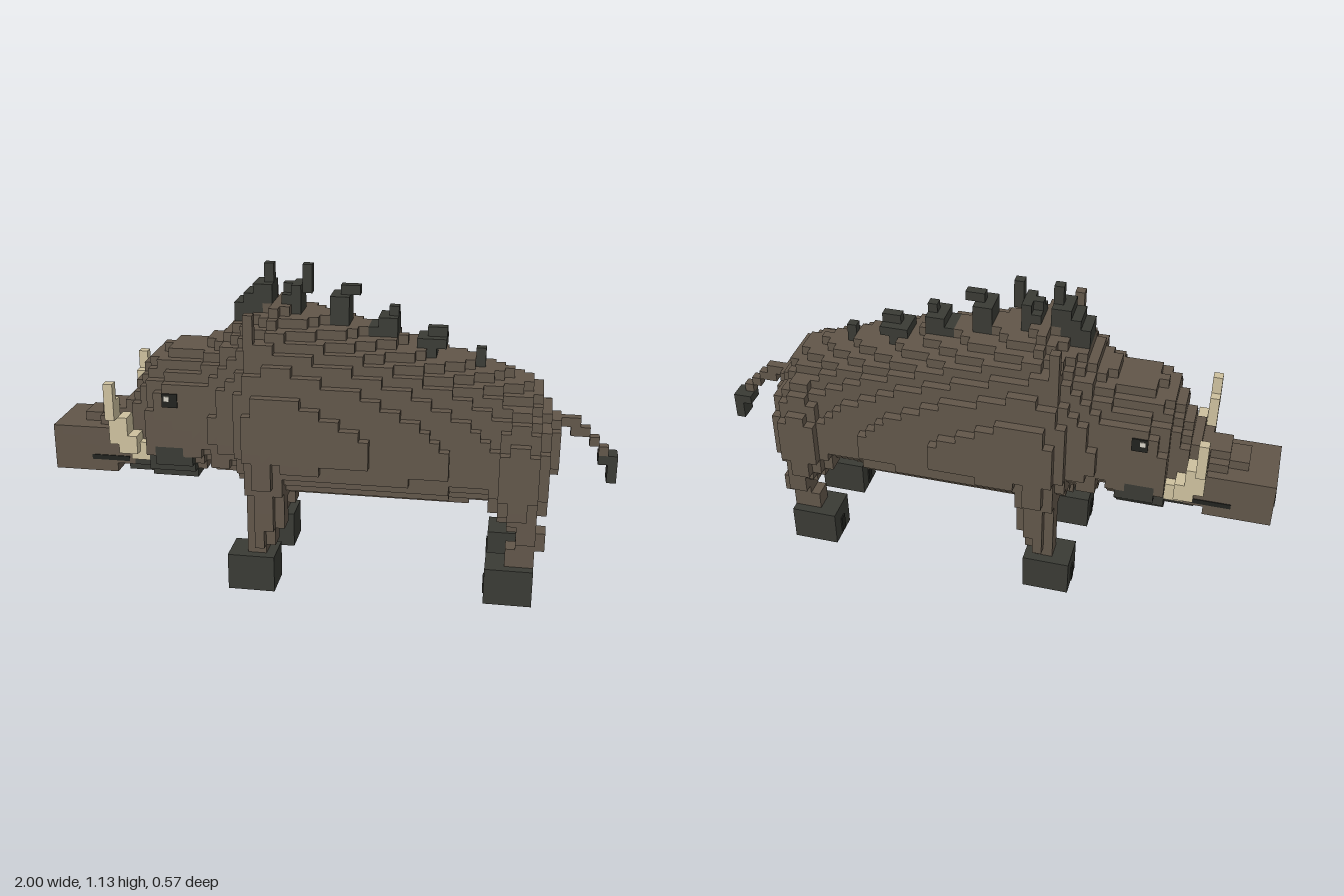
import * as THREE from 'three';

const V = 1 / 30; // cube size
const mat = (name, color) => {
  const m = new THREE.MeshStandardMaterial({ color });
  m.name = name;
  return m;
};

// Value at column i of a profile given as [[i, value], ...]
const at = (points, i) => {
  const n = Math.max(1, points.findIndex(([x]) => x >= i));
  const [x0, y0] = points[n - 1], [x1, y1] = points[n];
  return y0 + ((y1 - y0) * (i - x0)) / (x1 - x0);
};

const bodyTop = [[20, 28], [21, 28.4], [22, 29], [24, 30.3], [25, 29.8], [29, 28.7], [33, 27.7], [36, 26.8],
  [44, 24.7], [50, 22.9], [51, 22.3], [52, 20.4], [53, 19.4]];
const bodyBottom = [[20, 12], [21, 11], [22, 10], [49, 10], [52, 11], [53, 13]];
const bodyWidth = [[20, 7], [22, 8.2], [26, 8.6], [34, 8.1], [42, 7.1], [47, 6.15], [50, 5.2], [52, 4.1], [53, 2.6]];
const headTop = [[3, 16.8], [5, 17.7], [7, 18.4], [8, 19.2], [9, 21.2], [10, 23.2], [11, 24.2], [13, 25],
  [16, 25.4], [18, 26.3], [19, 27.2]];
const headBottom = [[3, 11], [6, 11], [7, 12], [8, 11], [15, 11], [16, 12], [17, 13], [18, 12], [19, 12]];
const headWidth = [[3, 2.8], [5, 3.2], [8, 3.7], [10, 3.95], [11, 5.3], [13, 5.95], [15, 5.95], [17, 5.6], [19, 6.5]];

export function createModel() {
  const model = new THREE.Group();
  model.name = 'boar';
  const hide = mat('brown hide', 0x62574a);
  const dark = mat('dark bristle', 0x3a3b35);
  const ivory = mat('ivory', 0xd0c3a0);
  const black = mat('near black', 0x22231f);
  const white = mat('eye glint', 0xd8d4c8);

  // Shared cube grid: i along x, j along y, k across z (k = 0 is the middle)
  const grid = new Map();
  const materials = {};
  const key = (i, j, k) => `${i},${j},${k}`;
  const put = (part, i, j, k) => grid.set(key(i, j, k), { part, p: [i, j, k] });
  const fill = (part, [i0, i1], [j0, j1], [k0, k1]) => {
    for (let i = i0; i <= i1; i++)
      for (let j = j0; j <= j1; j++)
        for (let k = k0; k <= k1; k++) put(part, i, j, k);
  };
  const fillBoth = (side, part, i, j, [k0, k1]) =>
    fill(part, i, j, side > 0 ? [k0, k1] : [-k1, -k0]);

  // Rounded cross-sections stacked along x
  const loft = (part, i0, i1, top, bottom, width, middle, up, down) => {
    for (let i = i0; i <= i1; i++) {
      const t = at(top, i), b = at(bottom, i), w = at(width, i);
      const c = b + (t - b) * middle;
      for (let j = 0; j < 32; j++) {
        const y = j + 0.5 - c;
        const r = Math.abs(y) / (y > 0 ? t - c : c - b);
        if (r > 1) continue;
        const n = y > 0 ? up : down;
        const half = Math.floor(w * Math.pow(1 - Math.pow(r, n), 1 / n));
        fill(part, [i, i], [j, j], [-half, half]);
      }
    }
  };

  // Rounded muscle mass
  const ellipsoid = (part, s, [ci, cj, ck], [ri, rj, rk]) => {
    for (let i = Math.ceil(ci - ri); i <= ci + ri; i++)
      for (let j = Math.ceil(cj - rj); j <= cj + rj; j++)
        for (let k = Math.ceil(ck - rk); k <= ck + rk; k++)
          if (((i - ci) / ri) ** 2 + ((j - cj) / rj) ** 2 + ((k - ck) / rk) ** 2 <= 1) put(part, i, j, s * k);
  };

  materials.body = hide;
  loft('body', 20, 53, bodyTop, bodyBottom, bodyWidth, 0.36, 2.1, 2.1);
  materials.head = hide;
  loft('head', 3, 19, headTop, headBottom, headWidth, 0.42, 2.1, 3);
  fill('head', [0, 6], [11, 15], [-3, 3]);
  fill('head', [7, 10], [12, 15], [-3, 3]);

  // Dark beard under the jaw: row -> columns
  materials.jaw = dark;
  const beard = { 11: [8, 15], 12: [9, 15], 13: [11, 15], 14: [12, 14] };
  for (const { part, p } of [...grid.values()]) {
    const row = beard[p[1]];
    if (part === 'head' && row && p[0] >= row[0] && p[0] <= row[1]) put('jaw', ...p);
  }

  // Legs, hooves, ears and tusks on both sides
  for (const s of [1, -1]) {
    const n = s > 0 ? 'Left' : 'Right';
    const name = (base, m) => { materials[base + n] = m; return base + n; };
    const fore = name('foreleg', hide);
    ellipsoid(fore, s, [23.5, 16.5, 5], [3, 8.6, 3.6]);
    fillBoth(s, fore, [22, 23], [4, 4], [5, 6]);
    fillBoth(s, fore, [22, 24], [5, 6], [5, 6]);
    fillBoth(s, fore, [23, 23], [5, 6], [4, 7]);
    fillBoth(s, fore, [22, 25], [7, 12], [5, 6]);
    fillBoth(s, fore, [23, 24], [7, 12], [4, 7]);
    fillBoth(s, fore, [23, 24], [9, 10], [3, 3]);
    const hind = name('hindLeg', hide);
    ellipsoid(hind, s, [49.5, 14, 4.4], [3.4, 6.2, 3.2]);
    fillBoth(s, hind, [49, 51], [4, 5], [4, 5]);
    fillBoth(s, hind, [50, 52], [6, 7], [4, 5]);
    fillBoth(s, hind, [50, 51], [7, 8], [4, 6]);
    fillBoth(s, hind, [49, 51], [9, 9], [3, 6]);
    fillBoth(s, hind, [48, 51], [10, 12], [4, 6]);
    fillBoth(s, hind, [49, 50], [10, 12], [4, 7]);
    fillBoth(s, name('foreHoof', dark), [20, 24], [0, 3], [4, 7]);
    fillBoth(s, name('hindHoof', dark), [47, 51], [0, 3], [3, 6]);
    const ear = name('ear', hide);
    fillBoth(s, ear, [22, 23], [23, 26], [6, 6]);
    fillBoth(s, ear, [22, 22], [27, 29], [6, 6]);
    const tusk = name('tusk', ivory);
    fillBoth(s, tusk, [9, 10], [13, 14], [4, 4]);
    fillBoth(s, tusk, [9, 9], [14, 15], [4, 5]);
    fillBoth(s, tusk, [8, 8], [14, 17], [4, 5]);
    fillBoth(s, tusk, [7, 7], [15, 19], [5, 5]);
    fillBoth(s, tusk, [7, 7], [18, 21], [6, 6]);
  }

  // Mane tufts: [i range, j range, half width]
  materials.mane = dark;
  const tufts = [
    [[20, 21], [28, 29], 1], [[21, 22], [29, 30], 1], [[22, 23], [30, 31], 1], [[23, 23], [32, 33], 0],
    [[25, 26], [29, 30], 1], [[26, 26], [31, 31], 1], [[27, 27], [31, 33], 0], [[25, 25], [30, 31], 0],
    [[30, 31], [28, 30], 1], [[31, 32], [31, 31], 0],
    [[34, 36], [27, 27], 1], [[35, 36], [28, 28], 1], [[36, 36], [28, 29], 0],
    [[39, 40], [25, 26], 1], [[40, 41], [26, 26], 1], [[40, 41], [27, 27], 0],
    [[45, 45], [24, 25], 0],
  ];
  for (const [i, j, h] of tufts) fill('mane', i, j, [-h, h]);

  // Tail and its tuft
  materials.tail = hide;
  for (const [i, j] of [[[54, 55], 18], [[55, 56], 17], [[57, 57], 16], [[58, 58], 15]]) fill('tail', i, [j, j], [0, 0]);
  materials.tailTuft = dark;
  fill('tailTuft', [58, 58], [14, 14], [-1, 0]);
  fill('tailTuft', [59, 59], [12, 14], [-1, 0]);

  // Turn the exposed cube faces of each part into a mesh
  const faces = {};
  for (const { part, p } of grid.values()) {
    const out = (faces[part] ??= { pos: [], nor: [] });
    for (let a = 0; a < 3; a++) for (const s of [1, -1]) {
      const next = [...p];
      next[a] += s;
      if (grid.has(key(...next))) continue;
      const corners = [[0, 0], [1, 0], [1, 1], [0, 1]].map(([u, v]) => {
        const c = [...p];
        if (s > 0) c[a] += 1;
        c[(a + 1) % 3] += u;
        c[(a + 2) % 3] += v;
        return [c[0] * V - 1, c[1] * V, (c[2] - 0.5) * V];
      });
      const normal = [0, 0, 0];
      normal[a] = s;
      for (const q of s > 0 ? [0, 1, 2, 0, 2, 3] : [0, 2, 1, 0, 3, 2]) {
        out.pos.push(...corners[q]);
        out.nor.push(...normal);
      }
    }
  }
  for (const [part, { pos, nor }] of Object.entries(faces)) {
    const g = new THREE.BufferGeometry();
    g.setAttribute('position', new THREE.Float32BufferAttribute(pos, 3));
    g.setAttribute('normal', new THREE.Float32BufferAttribute(nor, 3));
    const mesh = new THREE.Mesh(g, materials[part]);
    mesh.name = part;
    model.add(mesh);
  }

  // Thin painted plates
  const plate = (name, m, size, position) => {
    const mesh = new THREE.Mesh(new THREE.BoxGeometry(...size), m);
    mesh.name = name;
    mesh.position.set(...position);
    model.add(mesh);
  };
  for (const s of [1, -1]) {
    plate('eye', black, [0.055, 0.05, 0.008], [-0.54, 0.675, s * 0.184]);
    plate('eyeGlint', white, [0.018, 0.018, 0.008], [-0.55, 0.682, s * 0.187]);
    plate('nostril', black, [0.006, 0.035, 0.035], [-1, 0.45, s * 0.075]);
    plate('mouth', black, [0.14, 0.018, 0.006], [-0.79, 0.42, s * 0.117]);
    plate('foreHoofCleft', black, [0.009, 0.065, 0.03], [-0.334, 0.045, s * 0.183]);
    plate('hindHoofCleft', black, [0.009, 0.065, 0.03], [0.566, 0.045, s * 0.15]);
  }
  return model;
}
